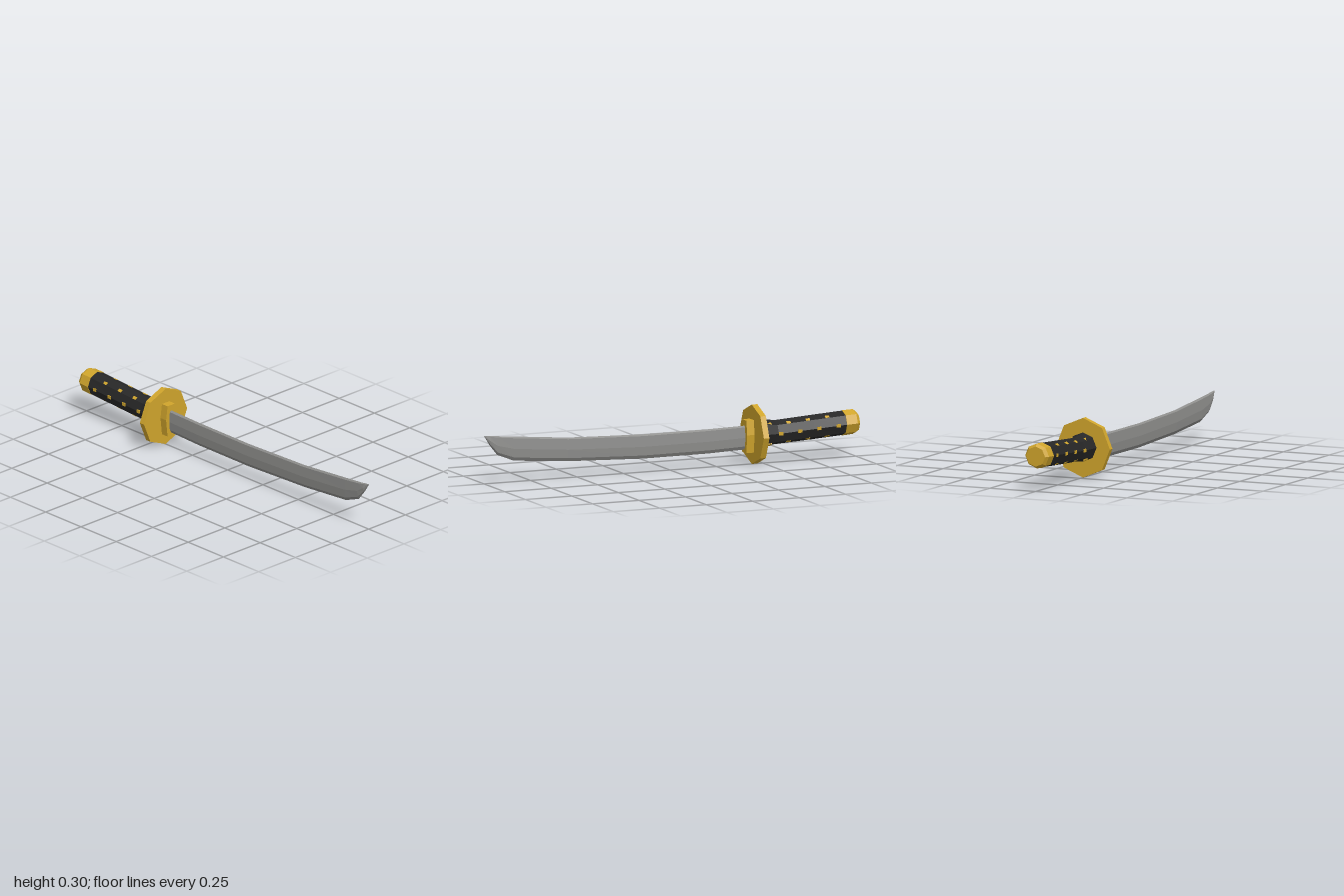
import * as THREE from 'three';

const mat = (name, color) => {
  const m = new THREE.MeshStandardMaterial({ color, flatShading: true });
  m.name = name;
  return m;
};

// Skin a list of rings of [x, y, z] points that run along +x, with capped ends.
function loft(rings) {
  const n = rings[0].length, last = (rings.length - 1) * n, index = [];
  for (let i = 0; i < rings.length - 1; i++) {
    for (let j = 0; j < n; j++) {
      const a = i * n + j, b = i * n + (j + 1) % n;
      index.push(a, b, b + n, a, b + n, a + n);
    }
  }
  for (let j = 1; j < n - 1; j++) {
    index.push(0, j + 1, j, last, last + j, last + j + 1);
  }
  const g = new THREE.BufferGeometry();
  g.setAttribute('position', new THREE.Float32BufferAttribute(rings.flat(2), 3));
  g.setIndex(index);
  const flat = g.toNonIndexed();
  flat.computeVertexNormals();
  return flat;
}

// Eight-sided ring with a corner at the top.
function octagon([x, y, ry, rz]) {
  return Array.from({ length: 8 }, (_, i) => {
    const a = i * Math.PI / 4;
    return [x, y + Math.cos(a) * ry, Math.sin(a) * rz];
  });
}

// Blade section: narrow spine, widest in the middle, sharp lower edge.
function bladeRing([x, bottom, top, w]) {
  const half = [[0.94, 0.75], [0.5, 1], [0.14, 0.75]];
  const at = (f, z) => [x, bottom + (top - bottom) * f, z * w];
  return [
    at(1, 0), ...half.map(([f, z]) => at(f, z)),
    at(0, 0), ...half.slice().reverse().map(([f, z]) => at(f, -z)),
  ];
}

export function createModel() {
  const gold = mat('gold', 0xd0a52c);
  const steel = mat('steel', 0x8e8e8c);
  const wrap = mat('black wrap', 0x272727);
  const group = new THREE.Group();
  group.name = 'sword';
  const add = (name, geometry, material, parent = group) => {
    const m = new THREE.Mesh(geometry, material);
    m.name = name;
    parent.add(m);
    return m;
  };

  // Curved blade: x, lower edge, spine, half thickness
  add('blade', loft([
    [-0.42, 0.075, 0.194, 0.013],
    [-0.2, 0.068, 0.189, 0.013],
    [0.15, 0.067, 0.188, 0.013],
    [0.55, 0.082, 0.2, 0.013],
    [0.84, 0.105, 0.225, 0.013],
    [0.93, 0.14, 0.233, 0.012],
    [0.97, 0.19, 0.237, 0.01],
    [1, 0.238, 0.24, 0.002],
  ].map(bladeRing)), steel);

  // Collar between guard and blade
  const collar = [[0.222, 0.025], [0.15, 0.035], [0.06, 0.025], [0.06, -0.025], [0.15, -0.035], [0.222, -0.025]];
  add('collar', loft([-0.45, -0.4].map(x => collar.map(([y, z]) => [x, y, z]))), gold);

  // Octagonal guard
  add('guard', loft([-0.47, -0.44].map(x => octagon([x, 0.148, 0.148, 0.147]))), gold);

  // Tilted grip that flares toward the guard
  add('grip', loft([
    [-0.935, 0.172, 0.061, 0.063],
    [-0.75, 0.161, 0.061, 0.061],
    [-0.56, 0.15, 0.06, 0.06],
    [-0.465, 0.152, 0.073, 0.075],
  ].map(octagon)), wrap);

  // Pommel cap with a chamfered end
  add('pommel', loft([
    [-1, 0.173, 0.05, 0.052],
    [-0.982, 0.174, 0.062, 0.065],
    [-0.925, 0.171, 0.063, 0.065],
  ].map(octagon)), gold);

  // Small studs along the grip edges: sides, then upper and lower rows
  const studs = new THREE.Group();
  studs.name = 'studs';
  group.add(studs);
  const stud = (x, angle, r) => {
    const y = 0.15 - (x + 0.56) * 0.058;
    const m = add('stud', new THREE.BoxGeometry(0.022, 0.009, 0.016), gold, studs);
    m.position.set(x, y + Math.cos(angle) * r, Math.sin(angle) * r);
    m.rotation.x = angle;
  };
  for (let i = 0; i < 4; i++) {
    for (const s of [1, -1]) {
      stud(-0.88 + i * 0.103, s * Math.PI / 2, 0.058);
      const x = -0.83 + i * 0.104, r = i === 3 ? 0.062 : 0.056;
      for (const a of [0.21, 0.79]) stud(x, s * a * Math.PI, r);
    }
  }
  return group;
}
